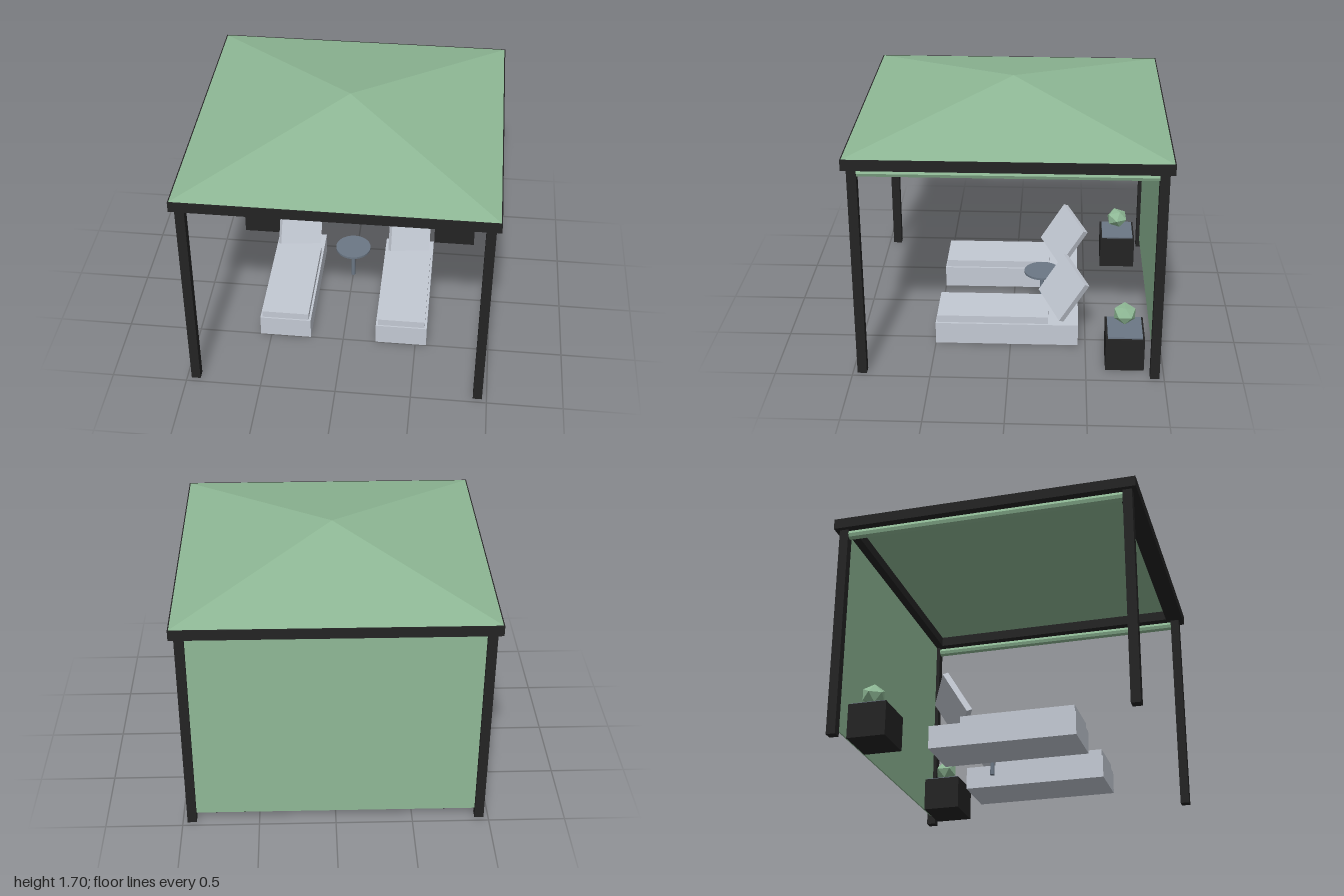
import * as THREE from 'three';

const mat = (name, color) => {
  const m = new THREE.MeshStandardMaterial({ color, flatShading: true });
  m.name = name;
  return m;
};

export function createModel() {
  const root = new THREE.Group();
  root.name = 'gazebo';
  const canvas = mat('greenCanvas', 0x8fb996);
  const frame = mat('blackFrame', 0x232323);
  const fabric = mat('paleGreyFabric', 0xc3c9d3);
  const slate = mat('slate', 0x6b7785);
  slate.flatShading = false;

  const add = (parent, name, geo, material, x, y, z) => {
    const m = new THREE.Mesh(geo, material);
    m.name = name;
    m.position.set(x, y, z);
    parent.add(m);
    return m;
  };
  const box = (parent, name, material, w, h, d, x, y, z) =>
    add(parent, name, new THREE.BoxGeometry(w, h, d), material, x, y, z);

  // Posts, top beams and rolled side shades
  for (const s of [-1, 1]) {
    for (const t of [-1, 1]) box(root, 'post', frame, 0.06, 1.43, 0.06, s * 0.94, 0.715, t * 0.94);
    box(root, 'crossBeam', frame, 2, 0.07, 0.12, 0, 1.465, s * 0.94);
    box(root, 'sideBeam', frame, 0.12, 0.07, 1.76, s * 0.94, 1.465, 0);
    const roll = new THREE.CylinderGeometry(0.03, 0.03, 1.82, 8).rotateX(Math.PI / 2);
    add(root, 'rolledShade', roll, canvas, s * 0.94, 1.4, 0);
  }

  // Pyramid roof and lowered back screen
  const roof = new THREE.ConeGeometry(0.993 * Math.SQRT2, 0.2, 4).rotateY(Math.PI / 4);
  add(root, 'roof', roof, canvas, 0, 1.6, 0);
  box(root, 'backScreen', canvas, 1.82, 1.37, 0.01, 0, 0.745, -0.94);

  for (const s of [-1, 1]) {
    // Lounger with tilted, turned backrest
    const lounger = new THREE.Group();
    lounger.name = 'lounger';
    lounger.position.x = s * 0.4;
    root.add(lounger);
    box(lounger, 'loungerBase', fabric, 0.35, 0.15, 0.95, 0, 0.075, 0.025);
    box(lounger, 'seatCushion', fabric, 0.32, 0.05, 0.74, 0, 0.175, 0.12);
    box(lounger, 'backrest', fabric, 0.32, 0.32, 0.04, 0, 0.34, -0.35).rotation.set(-0.55, 0.55, 0);

    // Side cabinet with a faceted plant
    const cabinet = new THREE.Group();
    cabinet.name = 'sideCabinet';
    cabinet.position.set(s * 0.725, 0, -0.75);
    root.add(cabinet);
    box(cabinet, 'cabinetBody', frame, 0.3, 0.225, 0.25, 0, 0.1125, 0);
    box(cabinet, 'cabinetTop', slate, 0.27, 0.01, 0.225, 0, 0.23, 0);
    const plant = add(cabinet, 'plant', new THREE.IcosahedronGeometry(0.08, 0), canvas, -0.05, 0.31, 0);
    plant.scale.y = 0.88;
    plant.rotation.y = s < 0 ? 0.5 : 0;
  }

  // Round table between the loungers
  add(root, 'tableTop', new THREE.CylinderGeometry(0.125, 0.125, 0.015, 24), slate, 0, 0.2525, -0.2);
  add(root, 'tableStem', new THREE.CylinderGeometry(0.015, 0.015, 0.245, 12), slate, 0, 0.1225, -0.2);

  return root;
}
